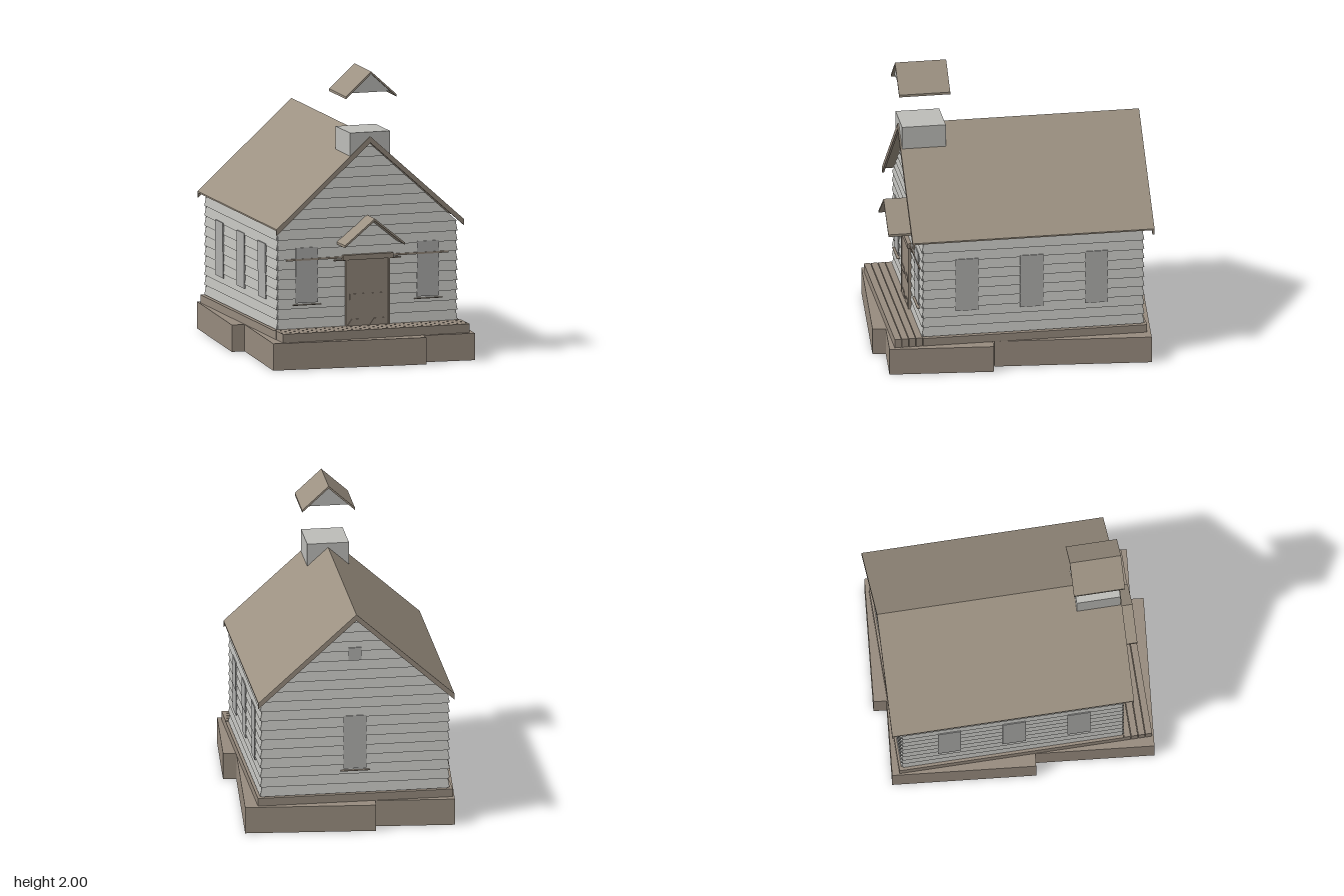
import * as THREE from 'three';

const mat = (name, color) => {
  const m = new THREE.MeshStandardMaterial({ color });
  m.name = name;
  return m;
};

export function createModel() {
  const white = mat('paintedSiding', 0xbdbdb9);
  const glass = mat('windowGrey', 0xb0b0ae);
  const brown = mat('brownWood', 0x978b7e);
  const roofing = mat('roofShingle', 0x9c9182);

  const model = new THREE.Group();
  model.name = 'smallChapel';

  const add = (parent, name, geo, material, x = 0, y = 0, z = 0) => {
    const m = new THREE.Mesh(geo, material);
    m.name = name;
    m.position.set(x, y, z);
    parent.add(m);
    return m;
  };
  // box given by its lower and upper limits
  const block = (parent, name, material, x0, x1, y0, y1, z0, z1) =>
    add(parent, name, new THREE.BoxGeometry(x1 - x0, y1 - y0, z1 - z0), material,
      (x0 + x1) / 2, (y0 + y1) / 2, (z0 + z1) / 2);
  // outline in x,y extruded from z0 to z1
  const prism = (parent, name, material, pts, z0, z1) => {
    const shape = new THREE.Shape(pts.map(p => new THREE.Vector2(p[0], p[1])));
    return add(parent, name,
      new THREE.ExtrudeGeometry(shape, { depth: z1 - z0, bevelEnabled: false }), material, 0, 0, z0);
  };
  // folded roof sheet with a vertical thickness t
  const chevron = (parent, name, material, half, eave, ridge, t, z0, z1) =>
    prism(parent, name, material, [[-half, eave], [-half, eave - t], [0, ridge - t],
      [half, eave - t], [half, eave], [0, ridge]], z0, z1);

  // stepped foundation blocks, square to the axes
  const base = new THREE.Group();
  base.name = 'foundation';
  model.add(base);
  [[-0.67, 0.40, 0.14, 0.95], [0.40, 0.76, 0.15, 0.86], [-0.76, 0.67, -0.84, 0.14], [-0.22, 0.67, -0.93, -0.84]]
    .forEach(([x0, x1, z0, z1]) => block(base, 'foundationBlock', brown, x0, x1, 0, 0.185, z0, z1));

  // the building is turned slightly on its foundation
  const house = new THREE.Group();
  house.name = 'building';
  house.position.set(-0.016, 0, -0.07);
  house.rotation.y = THREE.MathUtils.degToRad(5);
  model.add(house);

  // floor and porch planks
  block(house, 'floorSlab', brown, -0.668, 0.668, 0.185, 0.24, -0.78, 0.76);
  for (let i = 0; i < 4; i++) {
    const z = 0.762 + i * 0.049;
    block(house, 'porchPlank', brown, -0.668, 0.668, 0.185, 0.245, z, z + 0.045);
  }

  // lapped boards: thicker at the foot, optionally narrowing to the top
  const HX = 0.64, HZ = 0.755, Y0 = 0.245, BH = 0.068, WALL_TOP = 0.925;
  const board = (wBottom, wTop, h) => {
    const g = new THREE.BoxGeometry(wBottom, h, 0.02);
    const p = g.attributes.position;
    for (let i = 0; i < p.count; i++) {
      if (p.getY(i) > 0) {
        p.setX(i, p.getX(i) * wTop / wBottom);
        if (p.getZ(i) > 0) p.setZ(i, -0.004);
      }
    }
    g.computeVertexNormals();
    return g;
  };
  const wall = (name, width, dist, angle) => {
    const w = new THREE.Group();
    w.name = name;
    w.rotation.y = angle;
    house.add(w);
    for (let i = 0; i < 10; i++)
      add(w, 'sidingBoard', board(width, width, BH), white, 0, Y0 + (i + 0.5) * BH, dist);
    return w;
  };
  const gable = w => {
    const halfAt = y => Math.max(0.004, (1.51 - y) * 1.1);
    for (let y = WALL_TOP; y < 1.5; y += BH) {
      const top = Math.min(y + BH, 1.505);
      add(w, 'gableBoard', board(2 * halfAt(y), 2 * halfAt(top), top - y), white, 0, (y + top) / 2, HZ);
    }
  };
  const front = wall('frontWall', HX * 2, HZ, 0);
  const back = wall('backWall', HX * 2, HZ, Math.PI);
  const left = wall('leftWall', HZ * 2, HX, Math.PI / 2);
  const right = wall('rightWall', HZ * 2, HX, -Math.PI / 2);
  gable(front);
  gable(back);

  // windows: upper and lower sash plates
  const windowAt = (w, x, dist, sill) => {
    block(w, 'upperSash', glass, x - 0.079, x + 0.079, 0.60, 0.80, dist + 0.005, dist + 0.0145);
    block(w, 'lowerSash', glass, x - 0.079, x + 0.079, 0.42, 0.60, dist + 0.004, dist + 0.0125);
    if (sill) block(w, 'windowSill', brown, x - 0.1, x + 0.1, 0.405, 0.41, dist, dist + 0.025);
  };
  [-0.435, 0.435].forEach(x => windowAt(front, x, HZ, true));
  windowAt(back, 0, HZ, true);
  for (const x of [-0.445, 0, 0.445]) {
    windowAt(left, x + 0.05 - 0.06, HX, false);
    windowAt(right, x + 0.01, HX, false);
  }
  block(back, 'gableVent', glass, -0.045, 0.045, 1.20, 1.29, HZ + 0.004, HZ + 0.0135);

  // double door with frame, header and panels
  const door = new THREE.Group();
  door.name = 'door';
  door.position.z = HZ;
  front.add(door);
  block(door, 'doorLeaves', brown, -0.152, 0.152, 0.245, 0.70, 0, 0.02);
  block(door, 'doorHeader', brown, -0.18, 0.18, 0.70, 0.735, 0, 0.035);
  block(door, 'wallRail', brown, -0.58, 0.58, 0.712, 0.725, 0, 0.018);
  block(door, 'lowerRail', brown, -0.24, 0.24, 0.695, 0.703, 0, 0.018);
  for (const s of [-1, 1]) {
    block(door, 'doorJamb', brown, s * 0.152 - 0.006, s * 0.152 + 0.006, 0.245, 0.70, 0, 0.026);
    block(door, 'doorPanel', brown, s * 0.08 - 0.05, s * 0.08 + 0.05, 0.425, 0.465, 0.02, 0.025);
    prism(door, 'kickPanel', brown, [[s * 0.08 - 0.066, 0.25], [s * 0.08 + 0.066, 0.25],
      [s * 0.08 + 0.035, 0.292], [s * 0.08 - 0.035, 0.292]], 0.02, 0.025);
  }

  // main roof with gable trim at both ends
  chevron(house, 'mainRoof', roofing, 0.672, 0.945, 1.55, 0.01, -0.83, 0.83);
  for (const z of [-0.83, 0.815])
    chevron(house, 'gableTrim', brown, 0.672, 0.945, 1.549, 0.042, z, z + 0.015);

  // small raised roof over the door
  chevron(house, 'porchRoof', roofing, 0.215, 0.825, 1.0, 0.016, 0.755, 0.925);

  // belfry base saddled over the ridge
  prism(house, 'belfryBase', white, [[-0.143, 1.58], [-0.143, 1.42], [0, 1.545], [0.143, 1.42], [0.143, 1.58]],
    0.52, 0.82);

  // belfry cap hovering above its base, with both gables closed
  chevron(house, 'belfryRoof', roofing, 0.181, 1.835, 2.0, 0.016, 0.495, 0.846);
  for (const z of [0.515, 0.82])
    prism(house, 'belfryGable', white, [[-0.142, 1.855], [0.142, 1.855], [0, 1.985]], z, z + 0.008);

  return model;
}
